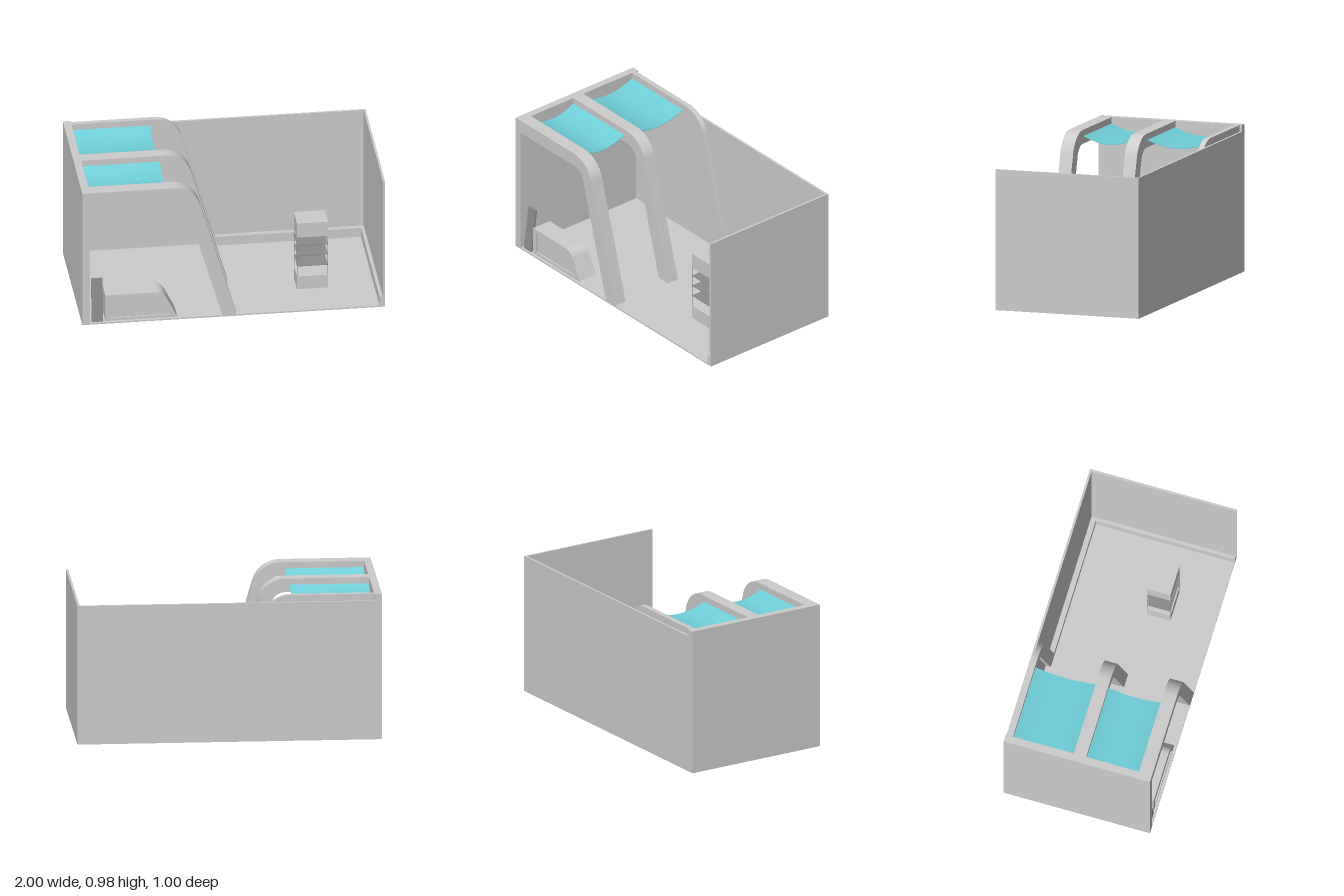
import * as THREE from 'three';
import { toCreasedNormals } from 'three/addons/utils/BufferGeometryUtils.js';

export function createModel() {
  const stand = new THREE.Group();
  stand.name = 'exhibitionStand';

  const grey = new THREE.MeshStandardMaterial({ color: 0xcccccc });
  grey.name = 'pale grey';
  const dark = new THREE.MeshStandardMaterial({ color: 0x8c8c8c });
  dark.name = 'dark grey';
  const blue = new THREE.MeshStandardMaterial({ color: 0x70ced9, side: THREE.DoubleSide });
  blue.name = 'turquoise';

  const add = (name, geometry, material, parent = stand) => {
    const mesh = new THREE.Mesh(geometry, material);
    mesh.name = name;
    parent.add(mesh);
    return mesh;
  };

  // Box given by its lower and upper limits on each axis
  const box = (name, x0, x1, y0, y1, z0, z1, material = grey, parent = stand) => {
    const mesh = add(name, new THREE.BoxGeometry(x1 - x0, y1 - y0, z1 - z0), material, parent);
    mesh.position.set((x0 + x1) / 2, (y0 + y1) / 2, (z0 + z1) / 2);
    return mesh;
  };

  // Outline from a slanted foot, round a bend, to the top left end
  const hood = (left, bottom, top, foot, slope, radius) => {
    const a = Math.atan(slope);
    const cy = top - radius;
    const cx = foot - slope * (cy + radius * Math.sin(a) - bottom) - radius * Math.cos(a);
    const points = [new THREE.Vector2(foot, bottom)];
    for (let i = 0; i <= 16; i++) {
      const t = a + (Math.PI / 2 - a) * i / 16;
      points.push(new THREE.Vector2(cx + radius * Math.cos(t), cy + radius * Math.sin(t)));
    }
    points.push(new THREE.Vector2(left, top));
    return points;
  };

  const extrude = (name, shape, z0, z1, parent = stand) => {
    const geometry = new THREE.ExtrudeGeometry(shape, { depth: z1 - z0, bevelEnabled: false });
    geometry.translate(0, 0, z0);
    return add(name, toCreasedNormals(geometry, 0.5), grey, parent);
  };

  // Floor, walls and skirting
  box('floor', -1, 1, 0, 0.01, -0.5, 0.5);
  box('backWall', -0.95, 1, 0.01, 0.935, -0.5, -0.485);
  box('leftWall', 0.985, 1, 0.01, 0.935, -0.485, 0.5);
  box('rightWall', -1, -0.95, 0.01, 0.98, -0.5, 0.5);
  box('backSkirting', -0.05, 0.985, 0.01, 0.075, -0.485, -0.45);
  box('leftSkirting', 0.963, 0.985, 0.01, 0.075, -0.45, 0.5);

  // Three sloping arches
  const arch = new THREE.Shape([
    ...hood(-0.95, 0, 0.98, 0.022, 0.289, 0.186),
    ...hood(-0.95, 0, 0.888, -0.072, 0.289, 0.096).reverse(),
  ]);
  extrude('frontArch', arch, 0.41, 0.5);
  extrude('middleArch', arch, -0.035, 0.05);
  extrude('backArch', arch, -0.485, -0.45);

  // Sagging canopies between the arches
  for (const [z0, z1] of [[-0.45, -0.035], [0.05, 0.41]]) {
    const half = (z1 - z0) / 2;
    const cloth = new THREE.BoxGeometry(0.52, 0.004, z1 - z0, 1, 1, 20);
    const p = cloth.attributes.position;
    for (let i = 0; i < p.count; i++) {
      p.setY(i, p.getY(i) + 0.89 + 0.046 * (p.getZ(i) / half) ** 2);
    }
    const canopy = add('canopy', toCreasedNormals(cloth, 0.5), blue);
    canopy.position.set(-0.69, 0, (z0 + z1) / 2);
  }

  // Reception counter with a framed, recessed front
  const counter = new THREE.Group();
  counter.name = 'counter';
  stand.add(counter);
  const outline = [...hood(-0.845, 0.01, 0.2, -0.37, 0.5, 0.08), new THREE.Vector2(-0.845, 0.01)];
  const opening = [...hood(-0.815, 0.03, 0.175, -0.415, 0.5, 0.07), new THREE.Vector2(-0.815, 0.03)];
  extrude('counterBody', new THREE.Shape(outline), 0.34, 0.47, counter);
  const frame = new THREE.Shape(outline);
  frame.holes.push(new THREE.Path(opening));
  extrude('counterFrame', frame, 0.47, 0.48, counter);

  // Leaning leaflet rack in three sections
  const rack = new THREE.Group();
  rack.name = 'leafletRack';
  rack.position.set(-0.8975, 0.01, 0.485);
  rack.rotation.x = -0.13;
  stand.add(rack);
  for (let i = 0; i < 3; i++) {
    box('rackSection', -0.0375, 0.0375, i * 0.102, i * 0.102 + 0.1, -0.012, 0, dark, rack);
  }

  // Display tower with open shelves
  const tower = new THREE.Group();
  tower.name = 'displayTower';
  stand.add(tower);
  box('towerBase', 0.455, 0.66, 0.01, 0.105, 0.05, 0.21, grey, tower);
  box('towerTop', 0.455, 0.66, 0.395, 0.5, 0.05, 0.21, grey, tower);
  for (const y of [0.178, 0.254, 0.33]) {
    box('towerShelf', 0.457, 0.658, y, y + 0.005, 0.052, 0.208, dark, tower);
  }
  for (const x of [0.455, 0.656]) {
    for (const z of [0.05, 0.206]) {
      box('towerPost', x, x + 0.004, 0.105, 0.395, z, z + 0.004, dark, tower);
    }
  }

  return stand;
}
